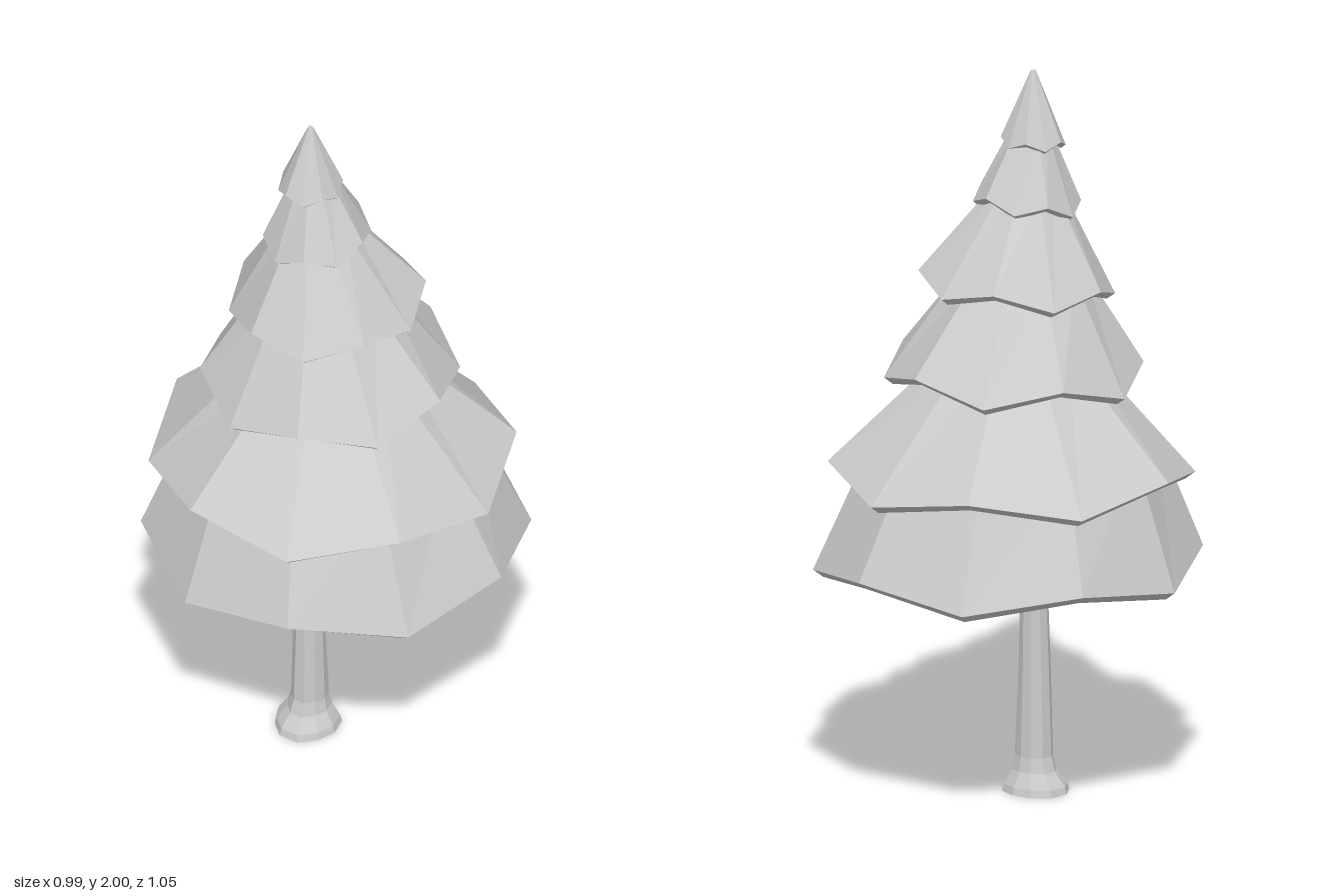
import * as THREE from 'three';

const bark = new THREE.MeshStandardMaterial({ color: 0xcccccc, flatShading: true });
const foliage = new THREE.MeshStandardMaterial({ color: 0xcccccc, flatShading: true });

// Closed ring of points around a vertical axis; pointAt(angle, index) gives each corner
function makeRing(sides, pointAt) {
  return Array.from({ length: sides }, (_, i) => pointAt((i * Math.PI * 2) / sides, i));
}

// Skin consecutive rings with flat facets
function loft(rings) {
  const pos = [];
  for (let k = 0; k < rings.length - 1; k++) {
    const lower = rings[k], upper = rings[k + 1], n = lower.length;
    for (let i = 0; i < n; i++) {
      const j = (i + 1) % n;
      for (const p of [lower[i], lower[j], upper[j], lower[i], upper[j], upper[i]]) pos.push(...p);
    }
  }
  const g = new THREE.BufferGeometry();
  g.setAttribute('position', new THREE.Float32BufferAttribute(pos, 3));
  g.computeVertexNormals();
  return g;
}

// Hollow ten-sided skirt with a zigzag hem
function skirt({ x, y, r, zig, tilt = 0, topX, topY, topR, wall }) {
  const hem = (dr, dy) => makeRing(10, (a, i) => {
    const dx = (r - dr) * Math.sin(a);
    return [x + dx, y - dy + (i % 2 ? -zig : zig) + tilt * dx, (r - dr) * Math.cos(a)];
  });
  const crown = (dr, dy) => makeRing(10, (a) => {
    const rr = Math.max(topR - dr, 0.002);
    return [topX + rr * Math.sin(a), topY - dy, rr * Math.cos(a)];
  });
  return loft([crown(wall, wall * 0.6), hem(wall, wall * 0.75), hem(0, 0), crown(0, 0)]);
}

// Straight tapered limb between two points
function limb(from, to, r0, r1) {
  const a = new THREE.Vector3(...from), b = new THREE.Vector3(...to);
  const dir = b.clone().sub(a);
  const mesh = new THREE.Mesh(new THREE.CylinderGeometry(r1, r0, dir.length(), 6), bark);
  mesh.position.copy(a).add(b).multiplyScalar(0.5);
  mesh.quaternion.setFromUnitVectors(new THREE.Vector3(0, 1, 0), dir.normalize());
  return mesh;
}

export function createModel() {
  const model = new THREE.Group();

  // Foliage tiers, lowest first; the axis drifts towards -x with height
  const tiers = [
    { x: 0, y: 0.655, r: 0.523, zig: -0.023, topX: -0.02, topY: 1.0, topR: 0.375, wall: 0.028 },
    { x: -0.01, y: 0.907, r: 0.493, zig: 0.025, topX: -0.02, topY: 1.25, topR: 0.165, wall: 0.026 },
    { x: -0.017, y: 1.175, r: 0.348, zig: -0.025, tilt: 0.03, topX: -0.04, topY: 1.45, topR: 0.165, wall: 0.024 },
    { x: -0.025, y: 1.418, r: 0.264, zig: 0.02, tilt: 0.07, topX: -0.055, topY: 1.69, topR: 0.085, wall: 0.022 },
    { x: -0.055, y: 1.64, r: 0.145, zig: -0.015, tilt: 0.12, topX: -0.065, topY: 1.84, topR: 0.053, wall: 0.017 },
    { x: -0.073, y: 1.805, r: 0.087, zig: 0.01, tilt: 0.04, topX: -0.073, topY: 2.0, topR: 0.007, wall: 0.014 },
  ];
  const leaves = new THREE.Group();
  leaves.name = 'foliage';
  tiers.forEach((t, i) => {
    const mesh = new THREE.Mesh(skirt(t), foliage);
    mesh.name = `foliageTier${i + 1}`;
    leaves.add(mesh);
  });
  // Small flat tip that closes the topmost tier
  const tip = new THREE.Mesh(new THREE.CircleGeometry(0.007, 10), foliage);
  tip.rotation.x = -Math.PI / 2;
  tip.position.set(-0.073, 2, 0);
  tip.name = 'treeTip';
  leaves.add(tip);
  model.add(leaves);

  // Trunk with flared, slightly uneven roots: [x, y, radius, root bump]
  const profile = [
    [-0.085, 0, 0.001, 0], [-0.085, 0, 0.09, 0.06], [-0.085, 0.02, 0.085, 0.06],
    [-0.08, 0.06, 0.06, 0.08], [-0.078, 0.1, 0.051, 0.06], [-0.078, 0.35, 0.043, 0.02],
    [-0.075, 0.6, 0.036, 0], [-0.073, 0.68, 0.04, 0], [-0.065, 0.76, 0.026, 0],
    [-0.07, 0.92, 0.022, 0], [-0.06, 1.25, 0.015, 0], [-0.065, 1.7, 0.004, 0],
  ];
  const trunk = new THREE.Mesh(loft(profile.map(([x, y, r, bump]) => makeRing(10, (a) => {
    const rr = r * (1 + bump * Math.cos(3 * a + 2.6));
    return [x + rr * Math.sin(a), y, rr * Math.cos(a)];
  }))), bark);
  trunk.name = 'trunk';
  model.add(trunk);

  // Bare branches under the foliage: [start height, heading, reach, rise, radius]
  const branches = [
    [0.65, 2.3, 0.32, 0.23, 0.022], [0.66, -0.75, 0.31, 0.23, 0.022],
    [0.82, 0.7, 0.28, 0.1, 0.014], [0.85, 1.6, 0.27, 0.12, 0.013],
    [0.88, -1.9, 0.24, 0.12, 0.013], [0.86, 3.4, 0.26, 0.12, 0.013],
  ];
  branches.forEach(([y, a, reach, rise, r], i) => {
    const at = (t, h) => [-0.072 + reach * t * Math.sin(a), y + rise * h, reach * t * Math.cos(a)];
    const branch = new THREE.Group();
    branch.name = `branch${i + 1}`;
    branch.add(limb(at(0, 0), at(0.45, 0.55), r, r * 0.7), limb(at(0.44, 0.54), at(1, 1), r * 0.7, r * 0.3));
    model.add(branch);
  });

  return model;
}
